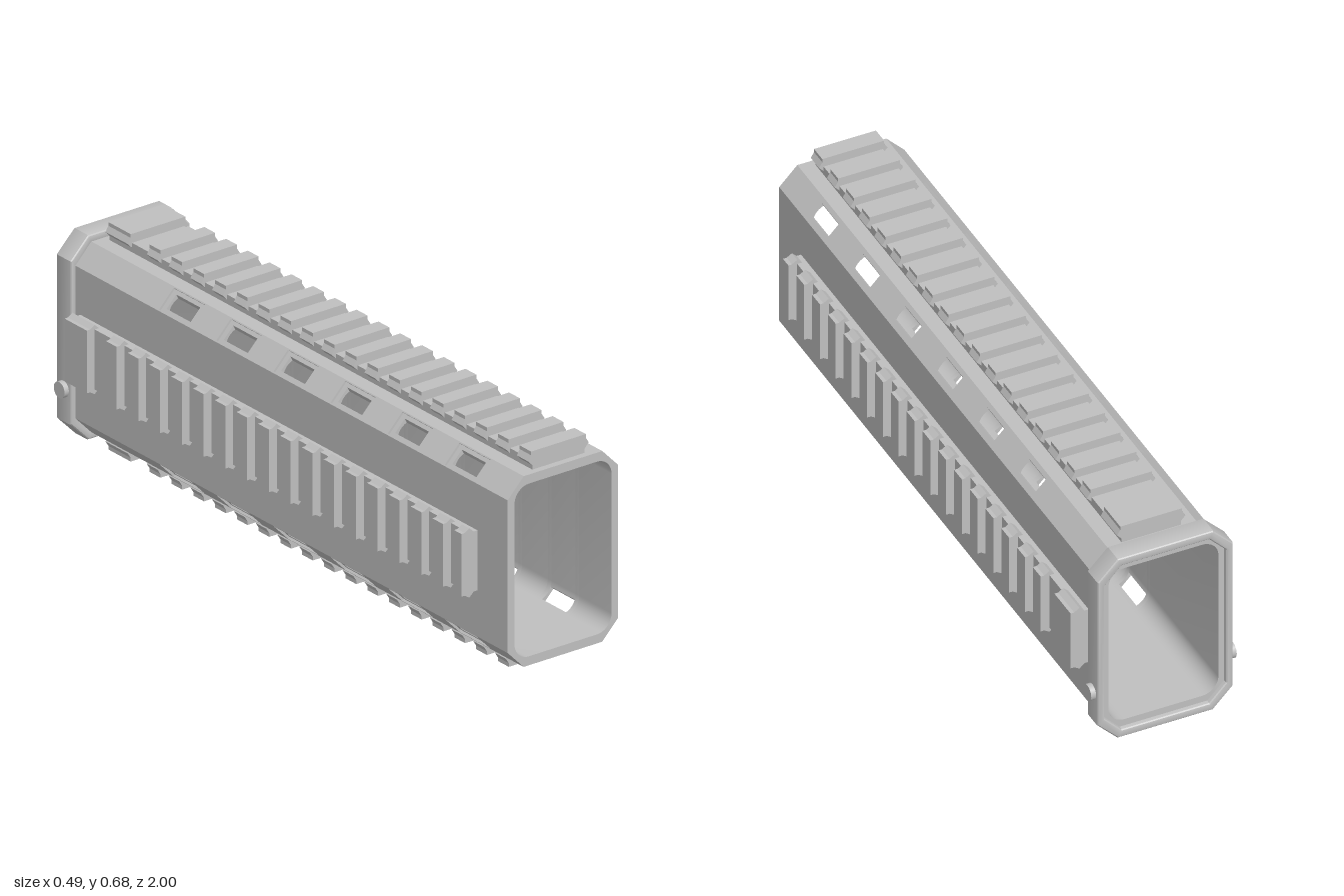
import * as THREE from 'three';
import { toCreasedNormals } from 'three/addons/utils/BufferGeometryUtils.js';

const V = (x, y) => new THREE.Vector2(x, y);
const flip = (pts, sx, sy) => pts.map((p) => V(p.x * sx, p.y * sy));

// Mirror a first-quadrant corner (side to top) into a closed outline
const allCorners = (c) => [
  ...c, ...flip(c, -1, 1).reverse(), ...flip(c, -1, -1), ...flip(c, 1, -1).reverse(),
];

export function createModel() {
  const metal = new THREE.MeshStandardMaterial({ color: 0xbfbfbf });
  metal.name = 'grey metal';
  const model = new THREE.Group();
  model.name = 'railedHandguard';
  const body = new THREE.Group();
  body.name = 'body';
  body.position.y = 0.341;
  model.add(body);

  const add = (parent, name, geometry) => {
    const mesh = new THREE.Mesh(geometry, metal);
    mesh.name = name;
    parent.add(mesh);
    return mesh;
  };
  const prism = (parent, name, shape, z0, z1, bevel = 0) => {
    const g = new THREE.ExtrudeGeometry(shape, {
      depth: z1 - z0 - 2 * bevel, bevelEnabled: bevel > 0,
      bevelSize: bevel, bevelThickness: bevel, bevelOffset: -bevel, bevelSegments: 3,
    });
    g.translate(0, 0, z0 + bevel);
    return add(parent, name, toCreasedNormals(g, 0.5));
  };

  // Cross-section of the tube, relative to its centre
  const B = V(0.19, 0.229), A = V(0.135, 0.286);
  const inward = V(-0.72, -0.694);
  const onChamfer = (t, depth = 0) => B.clone().lerp(A, t).addScaledVector(inward, depth);
  const arc = (from, to) => {
    const pts = [];
    for (let a = from; a <= to; a += 10) {
      const r = THREE.MathUtils.degToRad(a);
      pts.push(V(0.117 + 0.05 * Math.cos(r), 0.209 + 0.05 * Math.sin(r)));
    }
    return pts;
  };
  const ring = (corner, inner) => {
    const s = new THREE.Shape(allCorners(corner));
    s.holes.push(new THREE.Path(allCorners(inner)));
    return s;
  };
  const pocket = 0.007;
  const solid = ring([B, A], arc(0, 90));
  const pocketed = ring([
    B, onChamfer(0.05), onChamfer(0.05, pocket), onChamfer(0.95, pocket), onChamfer(0.95), A,
  ], arc(0, 90));

  // Four separate walls where the corner slots go right through
  const sideHalf = [
    ...arc(0, 20), onChamfer(0.2, pocket), onChamfer(0.05, pocket), onChamfer(0.05), B,
  ];
  const topHalf = [
    A, onChamfer(0.95), onChamfer(0.95, pocket), onChamfer(0.8, pocket), ...arc(70, 90),
  ];
  const side = [...sideHalf, ...flip(sideHalf, 1, -1).reverse()];
  const top = [...topHalf, ...flip(topHalf, -1, 1).reverse()];
  const split = [side, flip(side, -1, -1), top, flip(top, -1, -1)].map((p) => new THREE.Shape(p));

  // Tube, built along z with six slots at each corner
  let z = -0.985;
  for (let i = 0; i < 6; i++) {
    const c = -0.492 + i * 0.2555;
    prism(body, 'tube', solid, z, c - 0.07);
    prism(body, 'slotEnd', pocketed, c - 0.07, c - 0.054);
    split.forEach((s) => prism(body, 'slottedWall', s, c - 0.054, c + 0.054));
    prism(body, 'slotEnd', pocketed, c + 0.054, c + 0.07);
    z = c + 0.07;
  }
  prism(body, 'tube', solid, z, 1);

  // Rear collar with rounded edges
  prism(body, 'rearCollar',
    ring([V(0.206, 0.245), V(0.145, 0.307)], [V(0.184, 0.227), V(0.133, 0.28)]), -1, -0.932, 0.008);

  // Cross pin ends on the collar
  for (const s of [1, -1]) {
    const pin = add(body, 'pin', new THREE.CylinderGeometry(0.024, 0.024, 0.03, 24));
    pin.rotation.z = Math.PI / 2;
    pin.position.set(s * 0.206, -0.147, -0.965);
  }

  // Toothed rails
  const half = [V(0.09, 0), V(0.09, 0.013), V(0.104, 0.028), V(0.094, 0.044), V(0.094, 0.055)];
  const tooth = new THREE.Shape([...half, ...flip(half, -1, 1).reverse()]);
  const base = new THREE.Shape([V(0.09, 0), V(0.09, 0.028), V(-0.09, 0.028), V(-0.09, 0)]);
  const rail = (name, x, y, angle, first, front) => {
    const g = new THREE.Group();
    g.name = name;
    g.position.set(x, y, 0);
    g.rotation.z = angle;
    body.add(g);
    prism(g, 'railBase', base, -0.908, front - 0.002);
    prism(g, 'endTooth', tooth, -0.91, -0.81);
    for (let i = first; i < 18; i++) {
      const c = 0.953 - i * 0.0973;
      prism(g, 'tooth', tooth, c - 0.024, i === first ? front : c + 0.024);
    }
  };
  rail('topRail', 0, 0.286, 0, 0, 0.98);
  rail('bottomRail', 0, -0.286, Math.PI, 1, 0.88);
  rail('leftRail', 0.19, 0, -Math.PI / 2, 1, 0.865);
  rail('rightRail', -0.19, 0, Math.PI / 2, 1, 0.865);

  return model;
}
